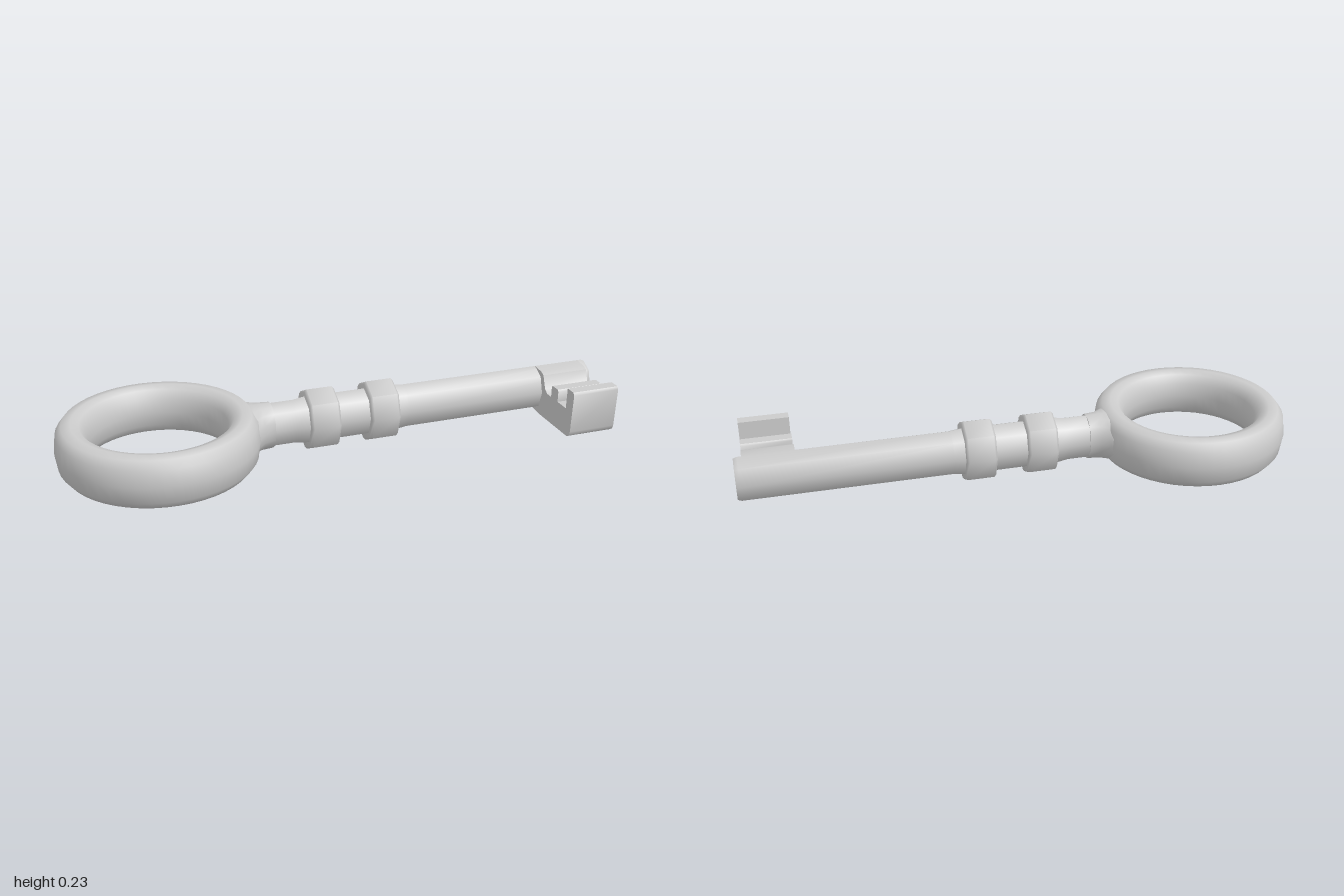
import * as THREE from 'three';
import { toCreasedNormals } from 'three/addons/utils/BufferGeometryUtils.js';

const MID_Y = 0.119;
const material = new THREE.MeshStandardMaterial({ color: 0xcccccc });

// Lofts closed elliptical sections [x, half depth, half height] along x, capped at both ends.
function loft(sections, sides) {
  const positions = [], index = [];
  for (const [x, rz, ry] of sections) {
    for (let i = 0; i < sides; i++) {
      const a = (i / sides) * Math.PI * 2;
      positions.push(x, Math.cos(a) * ry, Math.sin(a) * rz);
    }
  }
  const last = (sections.length - 1) * sides;
  const start = positions.length / 3;
  positions.push(sections[0][0], 0, 0, sections[sections.length - 1][0], 0, 0);
  for (let i = 0; i < sides; i++) {
    const j = (i + 1) % sides;
    for (let s = 0; s < last; s += sides) {
      index.push(s + i, s + j, s + sides + i, s + j, s + sides + j, s + sides + i);
    }
    index.push(start, j, i, start + 1, last + i, last + j);
  }
  const geometry = new THREE.BufferGeometry();
  geometry.setAttribute('position', new THREE.Float32BufferAttribute(positions, 3));
  geometry.setIndex(index);
  return toCreasedNormals(geometry, 1.0);
}

export function createModel() {
  const key = new THREE.Group();
  key.name = 'key';
  const add = (name, geometry, x = 0, y = MID_Y) => {
    const mesh = new THREE.Mesh(geometry, material);
    mesh.name = name;
    mesh.position.set(x, y, 0);
    key.add(mesh);
  };

  // Ring handle: a tall rounded section turned about the vertical axis
  const half = [[0.351, 0], [0.343, 0.058], [0.322, 0.085], [0.29, 0.09], [0.262, 0.081], [0.242, 0.05], [0.235, 0]];
  const lower = half.slice(1, -1).reverse().map(([r, y]) => [r, -y]);
  const profile = [...half, ...lower, half[0]].map(([r, y]) => new THREE.Vector2(r, y));
  add('ringHandle', toCreasedNormals(new THREE.LatheGeometry(profile, 48), 1.0), -0.65);

  // Flared neck blending the ring into the shaft
  add('neck', loft([
    [-0.385, 0.2, 0.077], [-0.345, 0.152, 0.084], [-0.315, 0.108, 0.085],
    [-0.29, 0.08, 0.085], [-0.25, 0.069, 0.084],
  ], 16));

  // Eight-sided shaft with a chamfered tip
  add('shaft', loft([
    [-0.29, 0.068, 0.084], [-0.17, 0.068, 0.084], [-0.13, 0.075, 0.09],
    [0.21, 0.075, 0.09], [0.25, 0.069, 0.085], [0.985, 0.067, 0.085], [0.998, 0.062, 0.08],
  ], 8));

  // Two raised collars
  for (const [name, x] of [['innerCollar', -0.07], ['outerCollar', 0.155]]) {
    add(name, loft([
      [-0.055, 0.089, 0.107], [-0.047, 0.096, 0.116],
      [0.047, 0.096, 0.116], [0.055, 0.089, 0.107],
    ], 8), x);
  }

  // Notched bit, drawn as (depth, height) and extruded along the shaft
  const outline = [
    [0, 0.036], [0.05, 0.03], [0.265, 0.03], [0.28, 0.04], [0.285, 0.055], [0.292, 0.2], [0.285, 0.21],
    [0.245, 0.21], [0.243, 0.132], [0.183, 0.132], [0.183, 0.172], [0.178, 0.178], [0.14, 0.178],
    [0.135, 0.172], [0.135, 0.132], [0.105, 0.132], [0.087, 0.145], [0.068, 0.192], [0.05, 0.2], [0, 0.204],
  ];
  const shape = new THREE.Shape(outline.map(([z, y]) => new THREE.Vector2(-z, y)));
  const bit = new THREE.ExtrudeGeometry(shape, { depth: 0.18, bevelEnabled: false });
  bit.rotateY(Math.PI / 2);
  add('bit', toCreasedNormals(bit, 0.7), 0.79, 0);

  return key;
}
